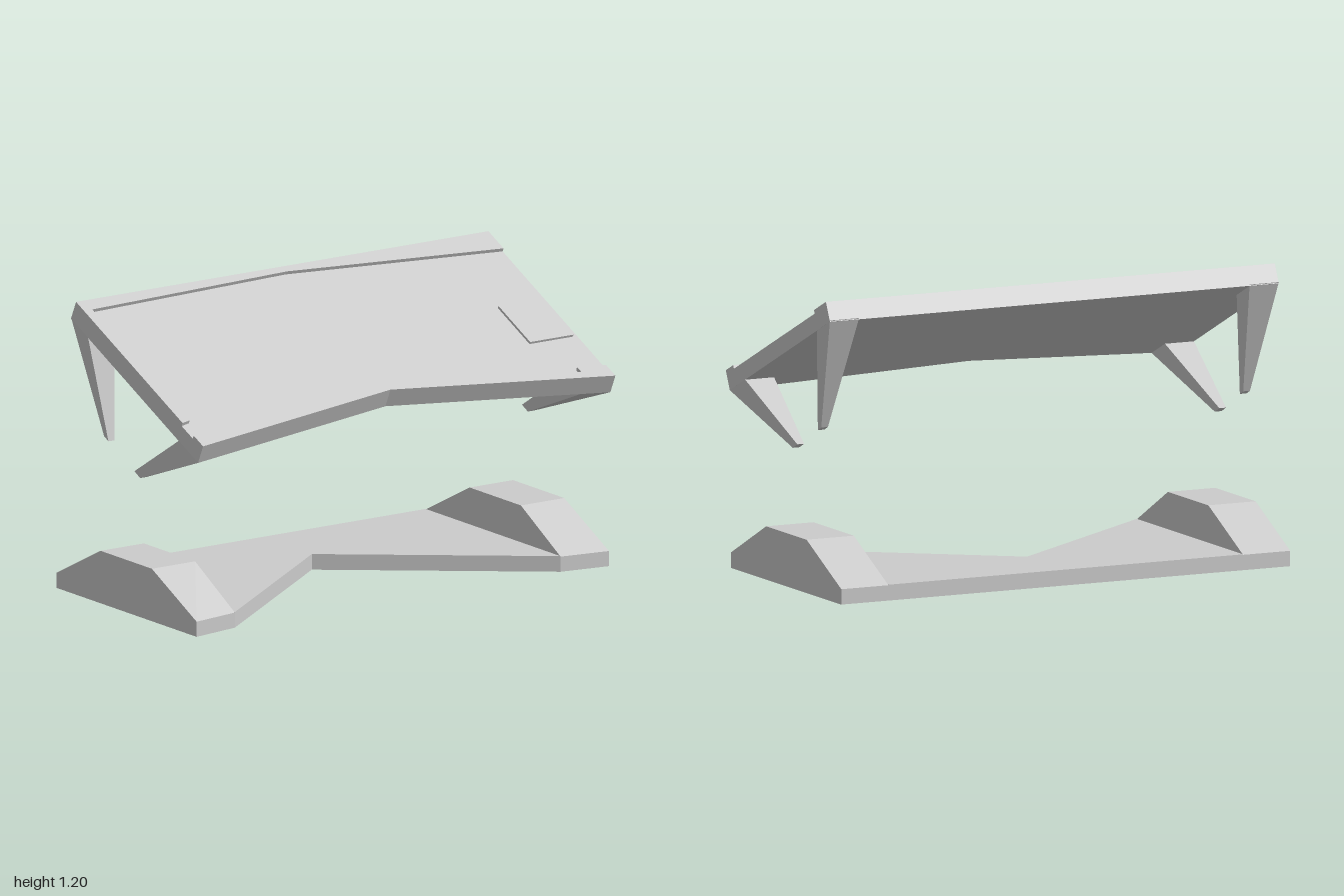
import * as THREE from 'three';
import { ConvexGeometry } from 'three/addons/geometries/ConvexGeometry.js';

const material = new THREE.MeshStandardMaterial({ color: 0xcccccc, flatShading: true });

function addMesh(parent, name, geometry) {
  const mesh = new THREE.Mesh(geometry, material);
  mesh.name = name;
  parent.add(mesh);
  return mesh;
}

// Flat outline extruded along its local z, starting at the given offset
function plate(outline, depth, offset = 0) {
  const shape = new THREE.Shape(outline.map(([x, y]) => new THREE.Vector2(x, y)));
  return new THREE.ExtrudeGeometry(shape, { depth, bevelEnabled: false }).translate(0, 0, offset);
}

// Convex solid from [x, y, z] corners, mirrored by side
function solid(corners, side) {
  return new ConvexGeometry(corners.map(([x, y, z]) => new THREE.Vector3(side * x, y, z)));
}

export function createModel() {
  const model = new THREE.Group();
  model.name = 'canopyAndBase';

  // Tilted roof: local y runs up the slope, local z is the roof normal
  const slope = Math.atan2(0.41, 0.88);
  const thickness = 0.083, recess = 0.015;
  const up = (z) => (0.51 - z) / Math.cos(slope);
  const onSlope = (points) => points.map(([x, z]) => [x, up(z)]);
  const roof = new THREE.Group();
  roof.name = 'roof';
  roof.position.set(0, 0.79, 0.51);
  roof.rotation.x = slope - Math.PI / 2;
  model.add(roof);

  addMesh(roof, 'roofSlab', plate(
    onSlope([[-1, 0.51], [0, 0.38], [1, 0.51], [1, -0.37], [-1, -0.37]]),
    thickness - recess, -thickness));

  // Raised rims around the shallow roof recess
  addMesh(roof, 'rearRim', plate(
    onSlope([[-1, 0.368], [-0.96, 0.36], [-0.96, -0.315], [0, -0.34], [1, -0.265], [1, -0.37], [-1, -0.37]]),
    recess, -recess));
  addMesh(roof, 'frontRim', plate(
    onSlope([[-1, 0.51], [0, 0.38], [1, 0.51], [1, 0.445], [0.87, 0.43], [0.87, 0.46],
      [0, 0.355], [-0.87, 0.46], [-0.87, 0.43], [-1, 0.445]]),
    recess, -recess));

  // Small square hatch
  addMesh(roof, 'hatch', plate(
    onSlope([[0.77, 0.25], [0.98, 0.25], [0.98, 0.03], [0.77, 0.03]]), 0.01, -recess));

  for (const side of [-1, 1]) {
    const label = side > 0 ? 'left' : 'right';

    // Tapered legs, swept inward under the roof
    addMesh(model, label + 'FrontLeg', solid([
      [1, 0.715, 0.475], [0.87, 0.723, 0.458], [1, 0.78, 0.345], [0.87, 0.78, 0.345],
      [0.955, 0.55, 0.01], [0.925, 0.55, 0.01], [0.955, 0.57, -0.03], [0.925, 0.57, -0.03],
    ], side));
    addMesh(model, label + 'BackLeg', solid([
      [1, 1.13, -0.405], [0.87, 1.13, -0.405], [1, 1.08, -0.29], [0.87, 1.08, -0.29],
      [0.955, 0.67, -0.24], [0.925, 0.67, -0.24], [0.955, 0.655, -0.21], [0.925, 0.655, -0.21],
    ], side));

    // Wedge-ended blocks on the base
    const block = [];
    for (const [x, front] of [[1, 0.465], [0.79, 0.43]]) {
      block.push([x, 0, front], [x, 0.062, front], [x, 0.215, 0.155],
        [x, 0.215, -0.2], [x, 0.062, -0.505], [x, 0, -0.505]);
    }
    addMesh(model, label + 'BaseBlock', solid(block, side));
  }

  // Base plate with a deep V notch at the front
  const base = plate([[-0.79, -0.43], [0, 0.165], [0.79, -0.43], [0.79, 0.505], [-0.79, 0.505]], 0.064);
  addMesh(model, 'basePlate', base.rotateX(-Math.PI / 2));

  return model;
}
